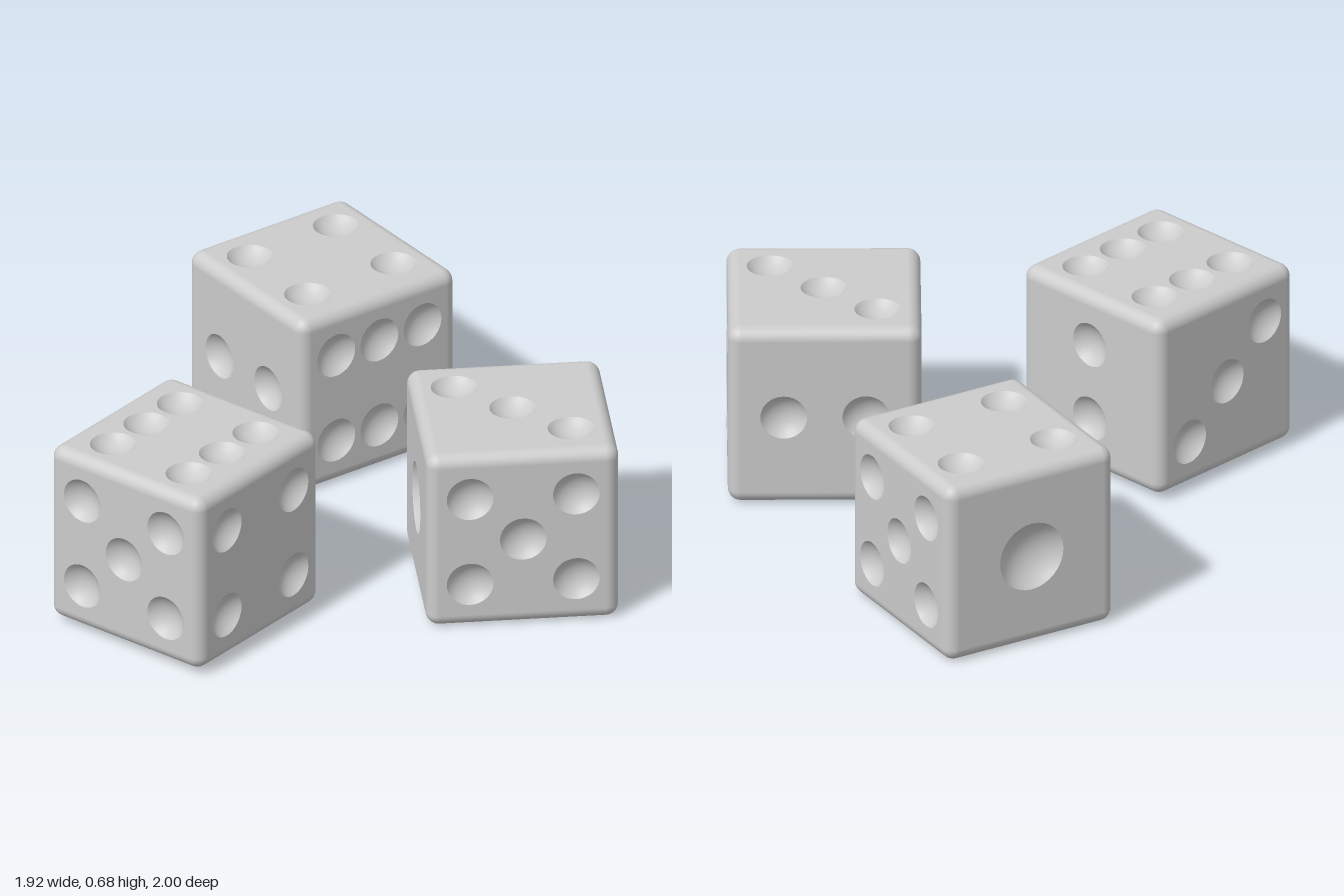
import * as THREE from 'three';
import { mergeGeometries } from 'three/addons/utils/BufferGeometryUtils.js';

const HALF = 0.33;          // half the edge of a die
const ROUND = 0.045;        // radius of its edges
const FLAT = HALF - ROUND;  // half the flat part of a face
const PIP = 0.08, BIG_PIP = 0.125;
const U = 0.182, V = 0.165, W = 0.14; // pip spacing across, up, and for two pips

// Pip positions, seen from outside the face
const corners = [[-U, -V], [U, -V], [-U, V], [U, V]];
const patterns = {
  one: [[0, 0]],
  two: [[-W, 0], [W, 0]],
  twoUpright: [[0, -W], [0, W]],
  threeRising: [[-U, -V], [0, 0], [U, V]],
  threeFalling: [[-U, V], [0, 0], [U, -V]],
  four: corners,
  five: [...corners, [0, 0]],
  six: [...corners, [0, -V], [0, V]],
};

// Rotations that carry a front face (+z) to each side
const Q = Math.PI / 2;
const sides = {
  front: [0, 0], right: [0, Q], back: [0, 2 * Q], left: [0, -Q], top: [-Q, 0], bottom: [Q, 0],
};

// Shallow spherical bowl opening towards +z
function pipBowl(radius) {
  const depth = radius * 0.5;
  const R = (radius * radius + depth * depth) / (2 * depth);
  const rim = Math.asin(radius / R);
  const profile = [];
  for (let i = 0; i <= 8; i++) {
    const a = rim * (1 - i / 8);
    profile.push(new THREE.Vector2(R * Math.sin(a), R - depth - R * Math.cos(a)));
  }
  return new THREE.LatheGeometry(profile, 32).rotateX(Q);
}

// Flat square with round holes, and the bowls that fill them
function faceParts(pattern, [rx, ry]) {
  const radius = pattern.length === 1 ? BIG_PIP : PIP;
  const square = new THREE.Shape([
    new THREE.Vector2(-FLAT, -FLAT), new THREE.Vector2(FLAT, -FLAT),
    new THREE.Vector2(FLAT, FLAT), new THREE.Vector2(-FLAT, FLAT),
  ]);
  for (const [u, v] of pattern) {
    square.holes.push(new THREE.Path().absarc(u, v, radius, 0, Math.PI * 2, true));
  }
  const place = (g) => g.translate(0, 0, HALF).rotateX(rx).rotateY(ry);
  return {
    plate: place(new THREE.ShapeGeometry(square, 16)),
    bowls: pattern.map(([u, v]) => place(pipBowl(radius).translate(u, v, 0))),
  };
}

// Twelve rounded edges and eight rounded corners
function roundedFrame() {
  const parts = [];
  for (let i = 0; i < 4; i++) {
    const edge = () => new THREE.CylinderGeometry(ROUND, ROUND, 2 * FLAT, 8, 1, true, 0, Q)
      .translate(FLAT, 0, FLAT).rotateY(i * Q);
    const corner = () => new THREE.SphereGeometry(ROUND, 8, 8, Q, Q, 0, Q)
      .translate(FLAT, FLAT, FLAT).rotateY(i * Q);
    parts.push(edge(), edge().rotateX(Q), edge().rotateZ(Q), corner(), corner().rotateX(Math.PI));
  }
  return parts;
}

function makeDie(name, faces, material) {
  const body = roundedFrame(), pips = [];
  for (const side in faces) {
    const { plate, bowls } = faceParts(patterns[faces[side]], sides[side]);
    body.push(plate);
    pips.push(...bowls);
  }
  const die = new THREE.Group();
  die.name = name;
  for (const [part, list] of [['body', body], ['pips', pips]]) {
    const mesh = new THREE.Mesh(mergeGeometries(list), material);
    mesh.name = part;
    die.add(mesh);
  }
  return die;
}

export function createModel() {
  const model = new THREE.Group();
  model.name = 'dice';
  const material = new THREE.MeshStandardMaterial({ color: 0xcccccc });

  const dice = [
    { name: 'rightDie', at: [-0.55, 0.35, 0.21], turn: 20,
      faces: { top: 'six', bottom: 'one', front: 'four', back: 'threeRising', right: 'twoUpright', left: 'five' } },
    { name: 'backLeftDie', at: [0.52, 0.33, -0.65], turn: 5,
      faces: { top: 'four', bottom: 'threeRising', front: 'six', back: 'one', right: 'five', left: 'two' } },
    { name: 'frontLeftDie', at: [0.535, 0.33, 0.575], turn: -25,
      faces: { top: 'threeFalling', bottom: 'four', front: 'five', back: 'two', right: 'six', left: 'one' } },
  ];
  for (const { name, at, turn, faces } of dice) {
    const die = makeDie(name, faces, material);
    die.position.set(...at);
    die.rotation.y = THREE.MathUtils.degToRad(turn);
    model.add(die);
  }
  return model;
}
